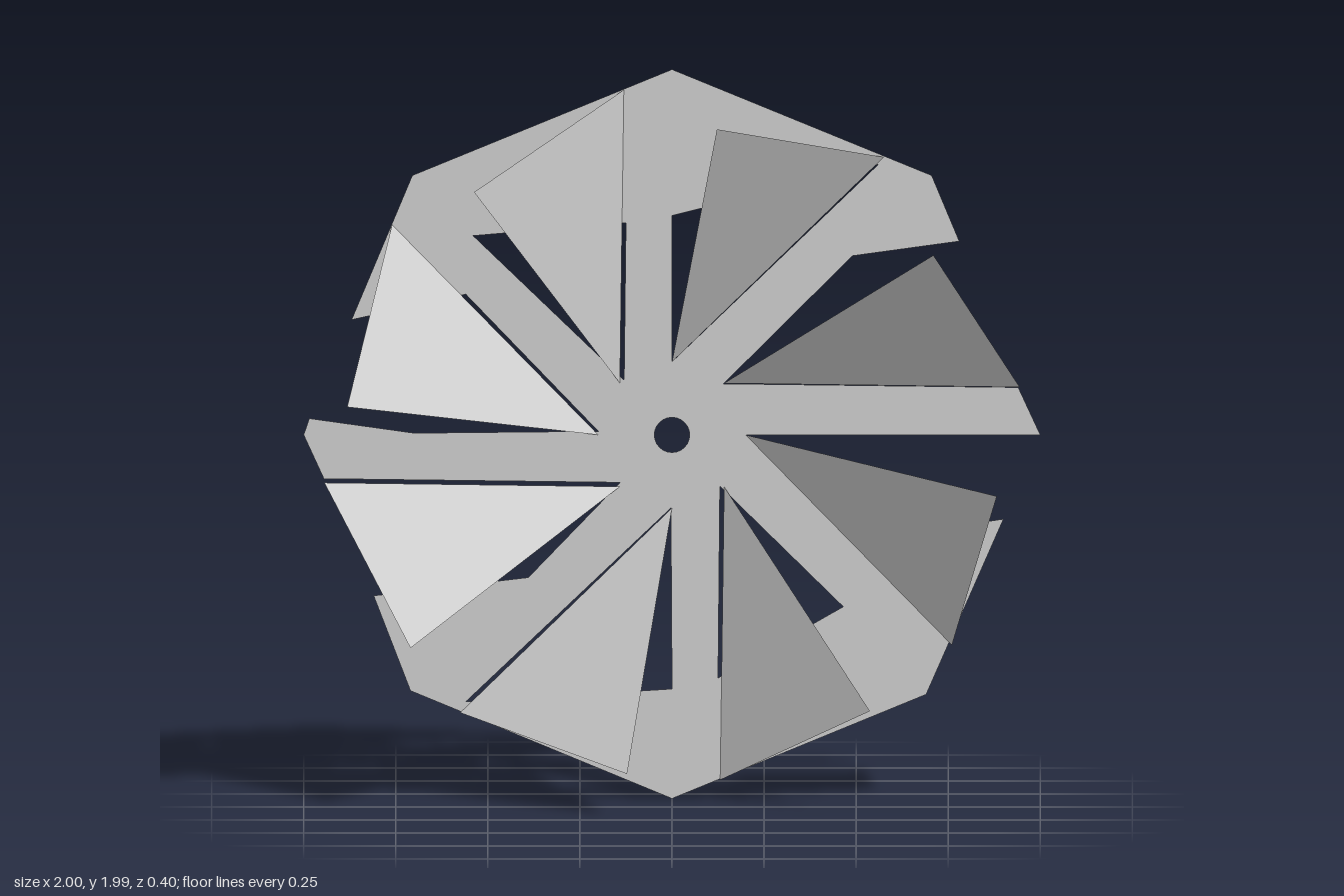
import * as THREE from 'three';

export function createModel() {
  const group = new THREE.Group();
  const material = new THREE.MeshStandardMaterial({
    color: 0xcccccc, side: THREE.DoubleSide, flatShading: true,
  });
  const points = (list) => list.map(([x, y]) => new THREE.Vector2(x, y));

  // Flat octagonal sheet, centred on the hub: eight spokes joined by leftover rim
  const sheet = new THREE.Shape(points([
    [0, 1], [0.705, 0.71], [0.78, 0.53], [0.49, 0.49], [0.14, 0.14],
    [0.94, 0.13], [1, 0], [0.2, 0], [0.49, -0.295], [0.9, -0.23],
    [0.69, -0.71], [0, -0.995], [-0.71, -0.7], [-0.81, -0.44], [-0.39, -0.39],
    [-0.14, -0.13], [-0.945, -0.12], [-1, 0], [-0.985, 0.045], [-0.7, 0.005],
    [-0.2, 0.01], [-0.56, 0.385], [-0.87, 0.315], [-0.705, 0.71],
  ]));

  // Openings behind four of the blades, where the rim is unbroken
  const openings = [
    [[0, 0.2], [0, 0.6], [0.56, 0.74]],
    [[0.13, -0.14], [0.465, -0.47], [0.125, -0.665]],
    [[-0.003, -0.2], [0, -0.695], [-0.56, -0.73]],
    [[-0.13, 0.15], [-0.54, 0.545], [-0.125, 0.58]],
  ];
  for (const opening of openings) sheet.holes.push(new THREE.Path(points(opening)));

  // Round hole in the hub
  sheet.holes.push(new THREE.Path().absarc(0, 0, 0.048, 0, Math.PI * 2, true));

  const wheel = new THREE.Mesh(new THREE.ShapeGeometry(sheet, 12), material);
  wheel.name = 'spokedSheet';
  group.add(wheel);

  // Triangular blades folded forward, hinged on one edge of each spoke
  const bladeGeometry = new THREE.BufferGeometry();
  bladeGeometry.setAttribute('position', new THREE.Float32BufferAttribute(
    [0, 0.2, 0, 0.575, 0.76, 0, 0.122, 0.882, 0.367], 3));
  bladeGeometry.computeVertexNormals();
  for (let i = 0; i < 8; i++) {
    const blade = new THREE.Mesh(bladeGeometry, material);
    blade.name = 'foldedBlade' + (i + 1);
    blade.rotation.z = -i * Math.PI / 4;
    group.add(blade);
  }

  // Stand upright with a slight backward lean
  group.rotation.x = -0.0175;
  group.position.set(0, 1, -0.18);

  const model = new THREE.Group();
  model.name = 'pinwheelFan';
  group.name = 'fan';
  model.add(group);
  return model;
}
